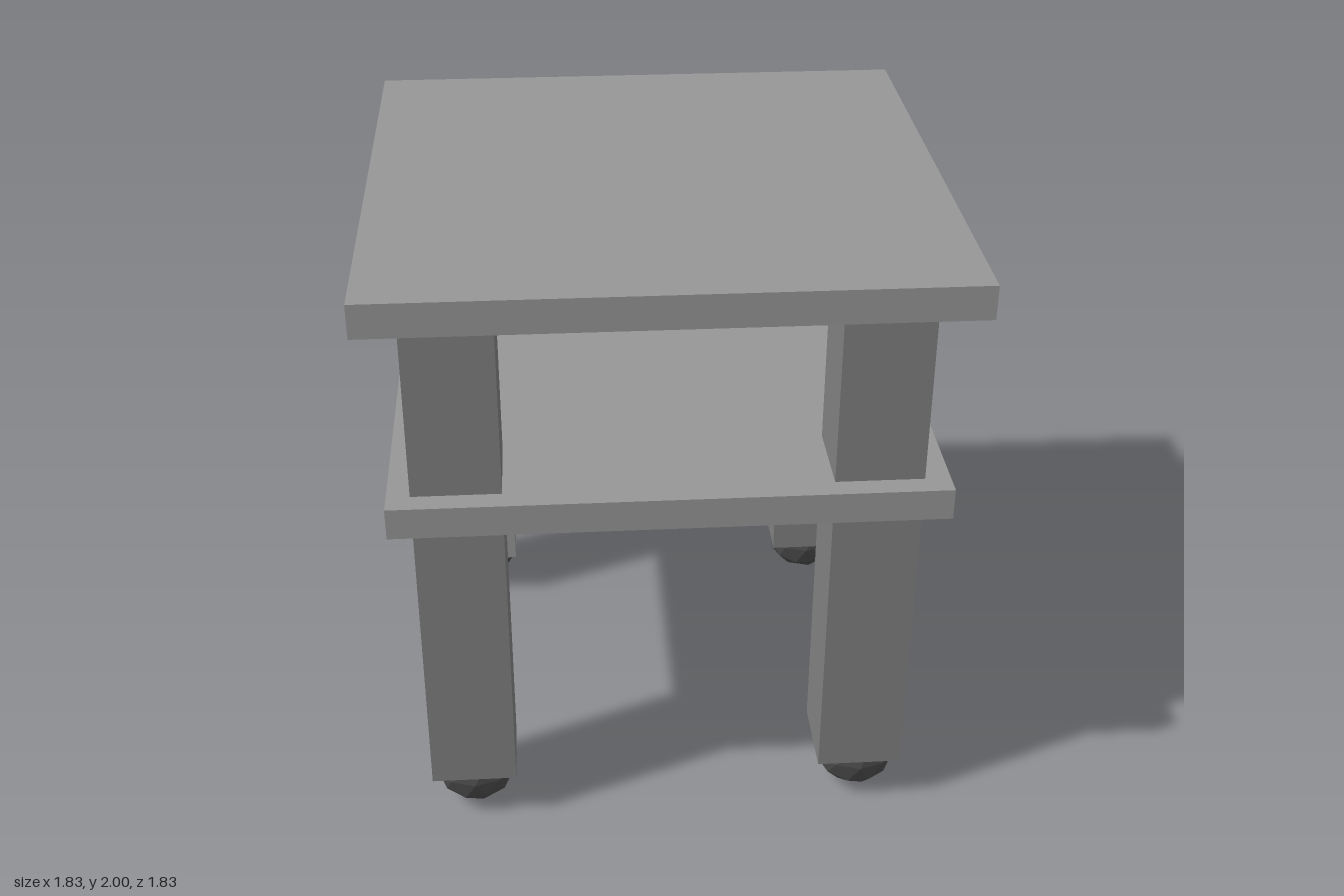
import * as THREE from 'three';

export function createModel() {
  const group = new THREE.Group();
  const paint = (color) => new THREE.MeshStandardMaterial({ color, flatShading: true });
  const lightGrey = paint(0x969696);
  const midGrey = paint(0x808080);
  const dark = paint(0x4c4c4c);

  const add = (name, geometry, material, x, y, z) => {
    const mesh = new THREE.Mesh(geometry, material);
    mesh.name = name;
    mesh.position.set(x, y, z);
    group.add(mesh);
  };

  // Square top and the slightly smaller shelf below it
  add('tableTop', new THREE.BoxGeometry(1.83, 0.108, 1.83), lightGrey, 0, 1.946, 0);
  add('shelf', new THREE.BoxGeometry(1.725, 0.103, 1.725), lightGrey, 0, 1.2385, 0);

  // Legs run from the feet up into the top, passing through the shelf
  const legGeometry = new THREE.BoxGeometry(0.278, 1.73, 0.278);

  // Low-poly ball foot, turned so that a vertex points straight down
  const footGeometry = new THREE.IcosahedronGeometry(0.137, 1);
  footGeometry.rotateZ(Math.atan(2 / (1 + Math.sqrt(5))));

  // Corner positions of the four legs; one leg is lighter, like the top
  const corners = [
    ['frontLeft', 0.643, 0.652, midGrey],
    ['frontRight', -0.651, 0.652, midGrey],
    ['backLeft', 0.652, -0.651, midGrey],
    ['backRight', -0.651, -0.654, lightGrey],
  ];
  for (const [corner, x, z, material] of corners) {
    add(corner + 'Leg', legGeometry, material, x, 1.033, z);
    add(corner + 'Foot', footGeometry, dark, Math.sign(x) * 0.65, 0.137, z > 0 ? 0.653 : -0.664);
  }
  return group;
}
